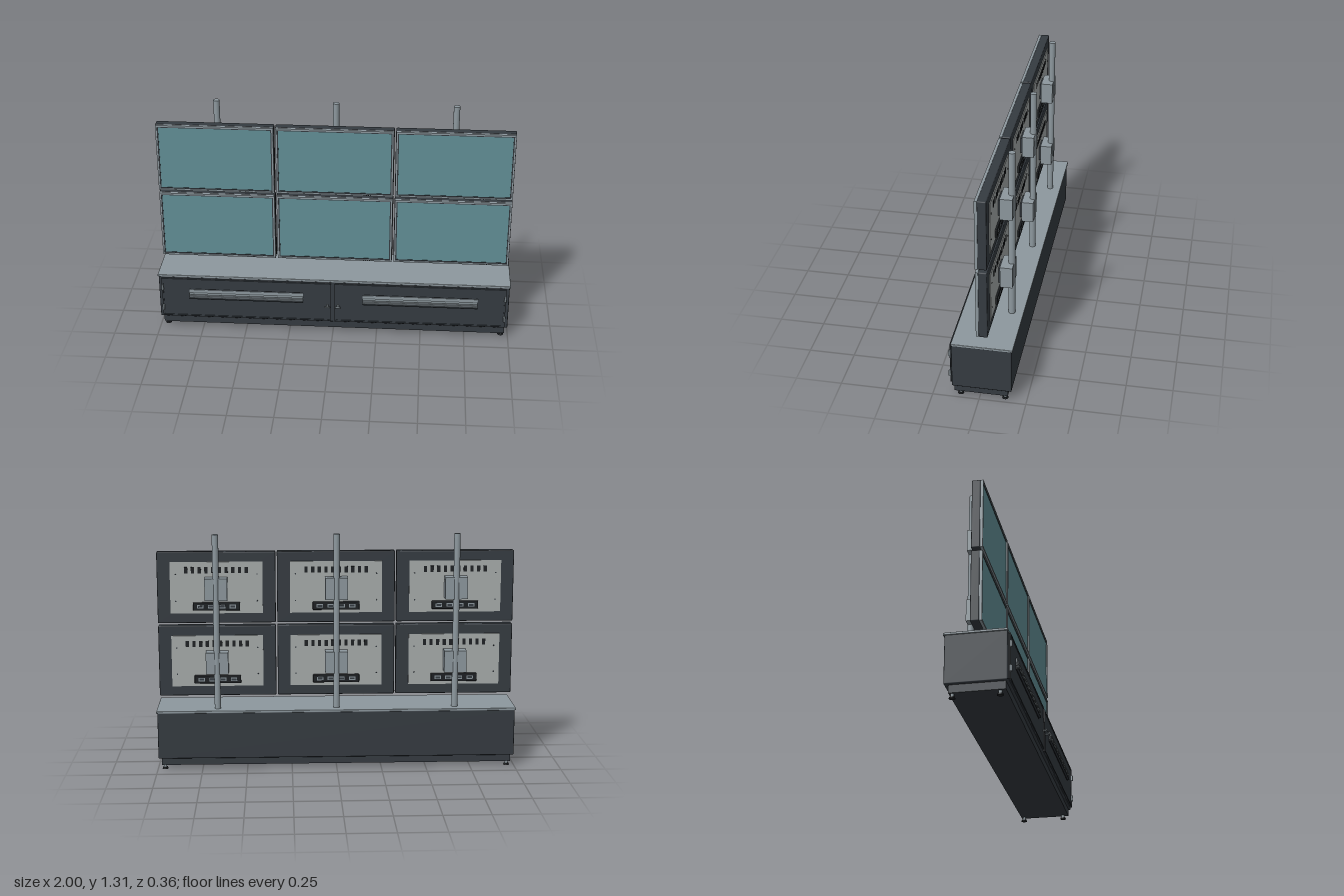
import * as THREE from 'three';
import { RoundedBoxGeometry } from 'three/addons/geometries/RoundedBoxGeometry.js';

const mat = (name, color) => {
  const m = new THREE.MeshStandardMaterial({ color });
  m.name = name;
  return m;
};

export function createModel() {
  const dark = mat('charcoal', 0x353b41);
  const black = mat('black', 0x1d2023);
  const steel = mat('steel grey', 0x8d989e);
  const teal = mat('screen teal', 0x628f96);
  const pale = mat('back panel grey', 0xa6abaa);

  const root = new THREE.Group();
  root.name = 'videoWallStand';

  const add = (parent, name, geo, material, x = 0, y = 0, z = 0) => {
    const m = new THREE.Mesh(geo, material);
    m.name = name;
    m.position.set(x, y, z);
    parent.add(m);
    return m;
  };
  const box = (parent, name, material, w, h, d, x, y, z) =>
    add(parent, name, new THREE.BoxGeometry(w, h, d), material, x, y, z);
  const rounded = (parent, name, material, w, h, d, r, x, y, z) =>
    add(parent, name, new RoundedBoxGeometry(w, h, d, 2, r), material, x, y, z);
  const cyl = (parent, name, material, r, h, x, y, z, r2 = r) =>
    add(parent, name, new THREE.CylinderGeometry(r, r2, h, 24), material, x, y, z);

  // Rectangular ring of the given border width, extruded along +z from 0
  const frameGeo = (w, h, border, depth) => {
    const rect = (S, a, b) => {
      const s = new S();
      s.moveTo(-a, -b).lineTo(a, -b).lineTo(a, b).lineTo(-a, b).closePath();
      return s;
    };
    const s = rect(THREE.Shape, w / 2, h / 2);
    s.holes.push(rect(THREE.Path, w / 2 - border, h / 2 - border));
    return new THREE.ExtrudeGeometry(s, { depth, bevelEnabled: false });
  };

  // Cabinet
  const cabinet = new THREE.Group();
  cabinet.name = 'cabinet';
  root.add(cabinet);
  rounded(cabinet, 'cabinetBody', dark, 1.99, 0.264, 0.318, 0.006, 0, 0.198, -0.013);
  rounded(cabinet, 'tableTop', steel, 2, 0.013, 0.326, 0.003, 0, 0.3335, -0.016);
  box(cabinet, 'plinth', dark, 1.956, 0.044, 0.285, 0, 0.046, -0.0075);

  // Levelling feet
  for (const x of [-0.96, 0.96]) for (const z of [0.104, -0.134]) {
    cyl(cabinet, 'footPad', black, 0.014, 0.009, x, 0.0045, z, 0.017);
    cyl(cabinet, 'footStem', steel, 0.009, 0.018, x, 0.016, z);
  }

  // Doors with raised rim, louvre, hinges and handle
  for (const s of [-1, 1]) {
    const door = new THREE.Group();
    door.name = s > 0 ? 'leftDoor' : 'rightDoor';
    door.position.set(s * 0.494, 0.199, 0.145);
    cabinet.add(door);
    rounded(door, 'doorPanel', dark, 0.966, 0.244, 0.01, 0.003, 0, 0, 0.003);
    add(door, 'doorRim', frameGeo(0.966, 0.244, 0.008, 0.004), dark, 0, 0, 0.008);
    box(door, 'louvreBacking', black, 0.65, 0.062, 0.003, 0, 0.026, 0.009);
    box(door, 'louvreTopSlat', steel, 0.65, 0.02, 0.006, 0, 0.046, 0.012);
    for (let i = 0; i < 4; i++) {
      const slat = box(door, 'louvreSlat', i < 3 ? steel : dark, 0.65, 0.005, 0.014, 0, 0.03 - i * 0.0095, 0.015);
      slat.rotation.x = 0.25;
    }
    for (const y of [-0.066, 0.064]) {
      rounded(door, 'hinge', steel, 0.012, 0.036, 0.014, 0.004, s * 0.479, y, 0.014);
    }
    const stem = cyl(door, 'handleStem', steel, 0.005, 0.024, -s * 0.464, -0.018, 0.02);
    stem.rotation.x = Math.PI / 2;
    rounded(door, 'handleBar', steel, 0.03, 0.009, 0.006, 0.002, -s * 0.464, -0.018, 0.031);
  }

  // Support poles
  for (const x of [-0.662, 0, 0.662]) cyl(root, 'pole', steel, 0.0175, 0.975, x, 0.8255, -0.116);

  // One display with its back fittings, centred on its own origin
  const W = 0.654, H = 0.398;
  const makeDisplay = (x, y) => {
    const g = new THREE.Group();
    g.name = 'display';
    g.position.set(x, y, 0);
    root.add(g);

    rounded(g, 'housing', dark, W, H, 0.047, 0.006, 0, 0, -0.0235);
    add(g, 'bezel', frameGeo(W - 0.004, H - 0.004, 0.009, 0.015), steel, 0, 0, -0.001);
    add(g, 'innerBezel', frameGeo(W - 0.022, H - 0.022, 0.006, 0.011), dark, 0, 0, -0.001);
    box(g, 'screen', teal, W - 0.032, H - 0.032, 0.008, 0, 0, 0.004);
    for (let i = 0; i < 4; i++) {
      box(g, 'button', black, 0.006, 0.004, 0.003, 0.165 + i * 0.012, -H / 2 + 0.0065, 0.0135);
    }

    // Back panel, vents and screws
    box(g, 'backPanel', pale, 0.51, 0.288, 0.008, 0, 0, -0.048);
    for (let i = 0; i < 10; i++) {
      box(g, 'vent', black, 0.018, 0.034, 0.003, (i - 4.5) * 0.037, 0.098, -0.0525);
    }
    for (const sx of [-1, 1]) for (const sy of [-1, 1]) {
      const screw = cyl(g, 'screw', dark, 0.004, 0.003, sx * 0.225, sy * 0.075, -0.0525);
      screw.rotation.x = Math.PI / 2;
    }

    // Connector block
    rounded(g, 'connectorBlock', black, 0.26, 0.046, 0.014, 0.004, 0, -0.104, -0.056);
    for (let i = 0; i < 4; i++) {
      const px = -0.09 + i * 0.06;
      box(g, 'port', steel, 0.036, 0.02, 0.002, px, -0.104, -0.0635);
      box(g, 'portOpening', dark, 0.026, 0.011, 0.002, px, -0.104, -0.0645);
    }

    // Wall mount clamp gripping the pole
    box(g, 'mountPlate', dark, 0.09, 0.09, 0.014, 0, 0, -0.058);
    box(g, 'mountBox', steel, 0.124, 0.122, 0.066, 0, 0, -0.0955);
  };
  for (const y of [0.596, 1.01]) for (const x of [-0.662, 0, 0.662]) makeDisplay(x, y);

  return root;
}
